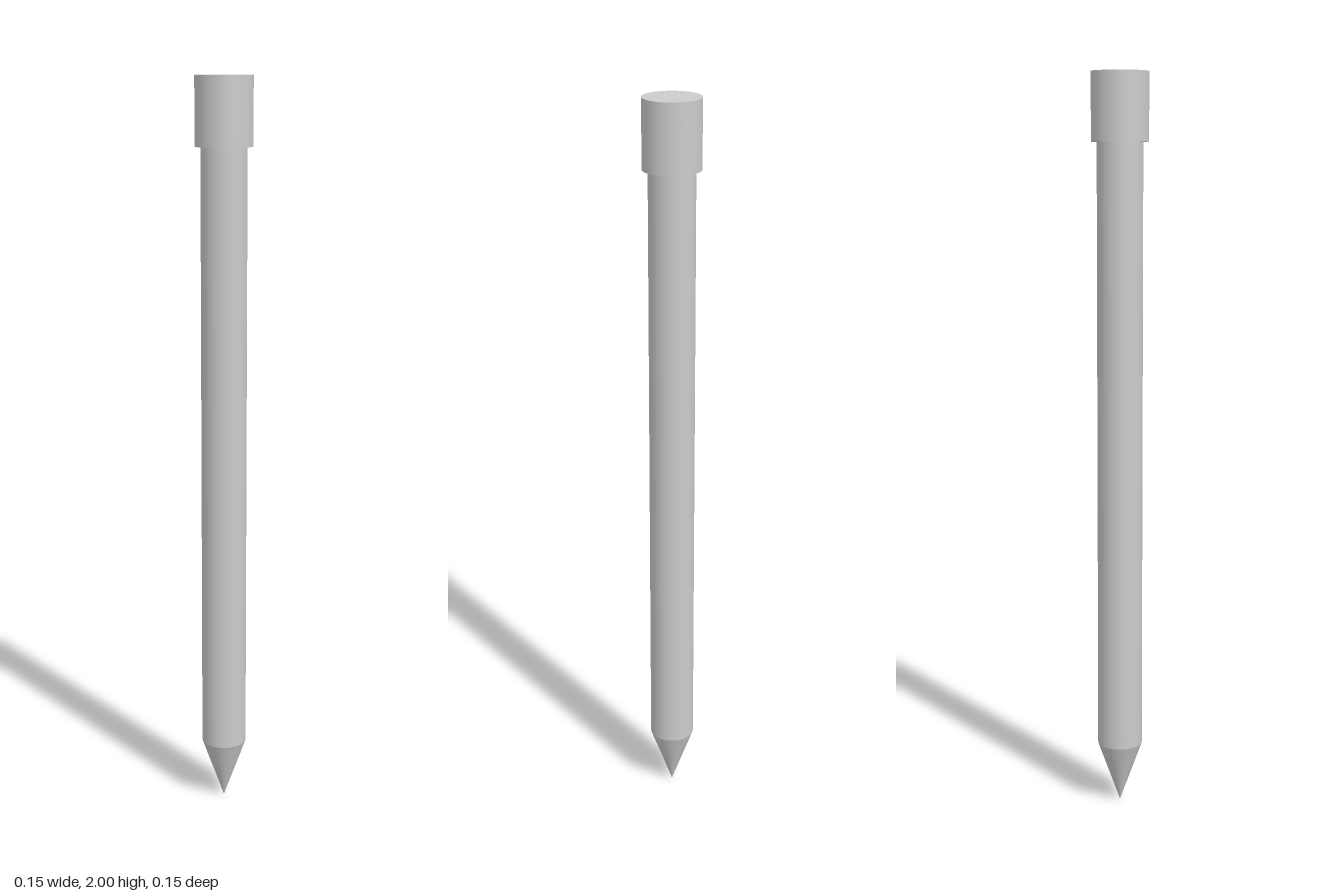
import * as THREE from 'three';

const SIDES = 48;
const SHAFT_R = 0.061;
const CAP_R = 0.076;
const TIP_TOP = 0.17;
const CAP_BOTTOM = 1.82;
const TOP = 2;

export function createModel() {
  const group = new THREE.Group();
  group.name = 'stake';
  const material = new THREE.MeshStandardMaterial({ color: 0xcccccc });

  // Upright round section between two heights
  const addSection = (name, rTop, rBottom, y0, y1, open = false) => {
    const geometry = new THREE.CylinderGeometry(rTop, rBottom, y1 - y0, SIDES, 1, open);
    const mesh = new THREE.Mesh(geometry, material);
    mesh.name = name;
    mesh.position.y = (y0 + y1) / 2;
    group.add(mesh);
  };

  // Pointed tip, long straight shaft and wider head
  addSection('tip', SHAFT_R, 0, 0, TIP_TOP, true);
  addSection('shaft', SHAFT_R, SHAFT_R, TIP_TOP, CAP_BOTTOM, true);
  addSection('head', CAP_R, CAP_R, CAP_BOTTOM, TOP);

  return group;
}
